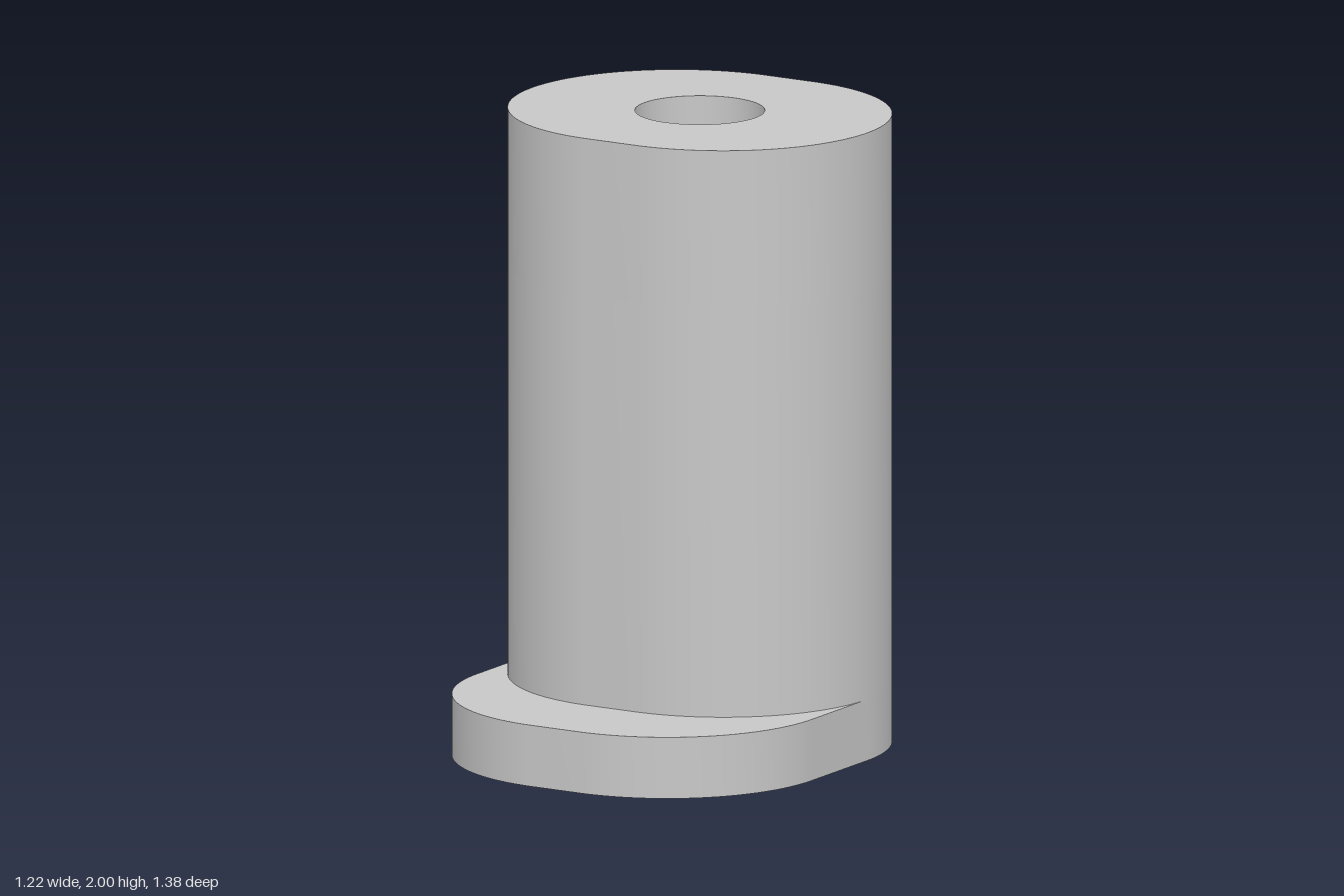
import * as THREE from 'three';
import { toCreasedNormals } from 'three/addons/utils/BufferGeometryUtils.js';

const RADIUS = 0.525; // corner radius of the outlines
const HALF_FLAT = 0.085; // half of the short straight edge
const AXIS_Z = -0.165; // depth of the bore axis

// Rounded outline running from the back corner arcs to the front ones (shape y = -z)
function outline(backZ, frontZ, boreRadius) {
  const shape = new THREE.Shape();
  shape.absarc(HALF_FLAT, -backZ, RADIUS, 0, Math.PI / 2, false);
  shape.absarc(-HALF_FLAT, -backZ, RADIUS, Math.PI / 2, Math.PI, false);
  shape.absarc(-HALF_FLAT, -frontZ, RADIUS, Math.PI, Math.PI * 1.5, false);
  shape.absarc(HALF_FLAT, -frontZ, RADIUS, Math.PI * 1.5, Math.PI * 2, false);
  shape.closePath();
  const bore = new THREE.Path();
  bore.absarc(0, -AXIS_Z, boreRadius, 0, Math.PI * 2, true);
  shape.holes.push(bore);
  return shape;
}

export function createModel() {
  const group = new THREE.Group();
  group.name = 'flangedSpacer';
  const grey = new THREE.MeshStandardMaterial({ color: 0xc8c8c8 });
  grey.name = 'plain grey';

  function addLayer(name, frontZ, boreRadius, y0, y1) {
    const extruded = new THREE.ExtrudeGeometry(outline(AXIS_Z, frontZ, boreRadius), {
      depth: y1 - y0, bevelEnabled: false, curveSegments: 32,
    });
    extruded.rotateX(-Math.PI / 2);
    const mesh = new THREE.Mesh(toCreasedNormals(extruded, Math.PI / 6), grey);
    mesh.position.y = y0;
    mesh.name = name;
    group.add(mesh);
  }

  // Foot plate reaching forward, then the column with a wide recess below a narrow hole
  addLayer('footPlate', 0.165, 0.37, 0, 0.195);
  addLayer('column', AXIS_Z, 0.37, 0.195, 1.5);
  addLayer('columnTop', AXIS_Z, 0.202, 1.5, 2);

  return group;
}
